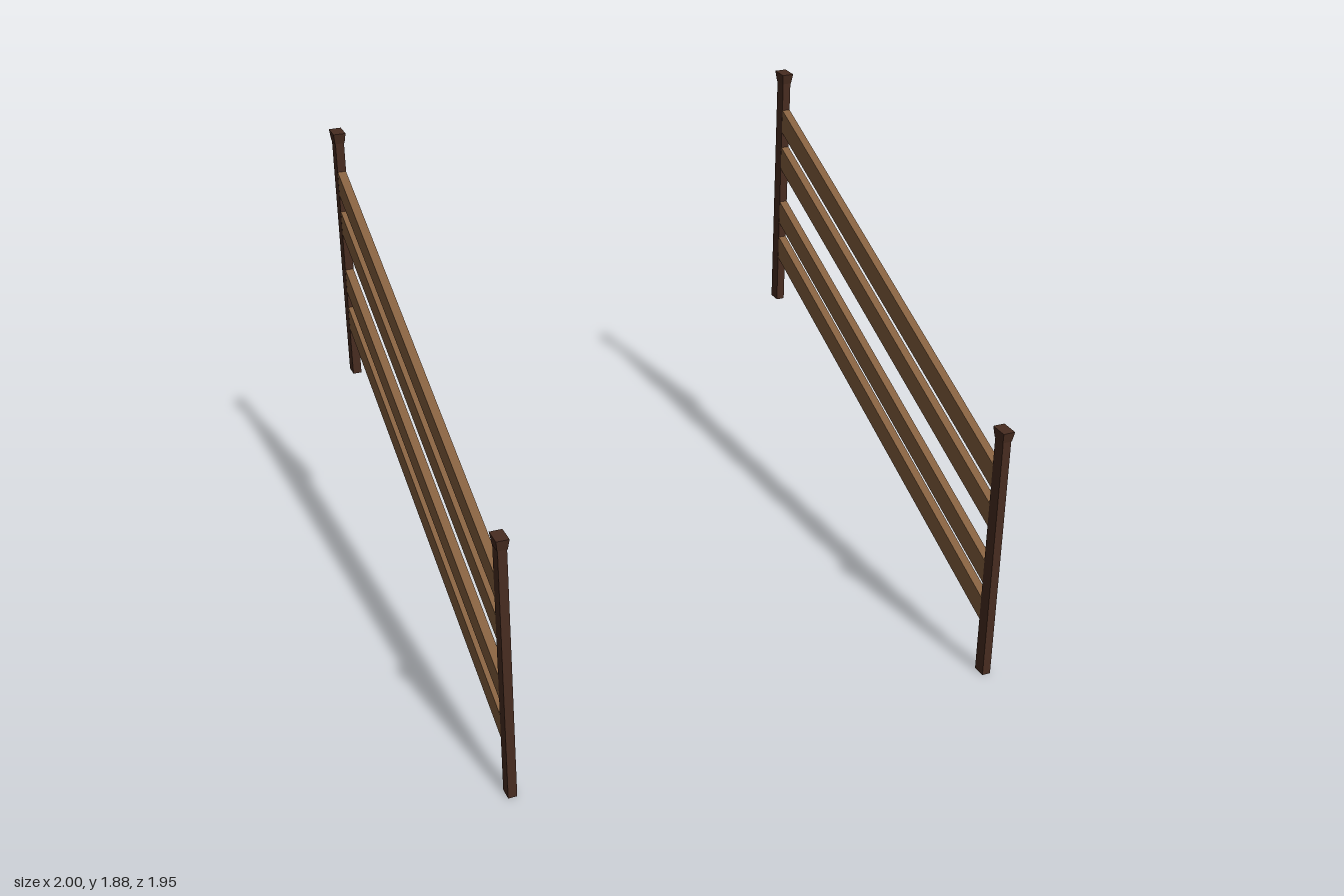
import * as THREE from 'three';

const wood = new THREE.MeshStandardMaterial({ color: 0x85603f });
wood.name = 'railWood';
const darkWood = new THREE.MeshStandardMaterial({ color: 0x482c20 });
darkWood.name = 'postWood';

const POST_W = 0.034, POST_D = 0.055, CAP_W = 0.048, CAP_D = 0.074, CAP_H = 0.042;
const SLOPE = 0.443, RAIL_H = 0.098, RAIL_END = 0.925;

function addMesh(parent, geometry, material, name, y, z) {
  const mesh = new THREE.Mesh(geometry, material);
  mesh.name = name;
  mesh.position.set(0, y, z);
  parent.add(mesh);
}

// Square post with a cap that flares out towards the top
function makePost(name, bottom, top, z) {
  const post = new THREE.Group();
  post.name = name;
  const height = top - bottom - CAP_H;
  addMesh(post, new THREE.BoxGeometry(POST_W, height, POST_D), darkWood, 'postShaft', bottom + height / 2, z);

  const cap = new THREE.BoxGeometry(CAP_W, CAP_H, CAP_D);
  const p = cap.attributes.position;
  for (let i = 0; i < p.count; i++) {
    if (p.getY(i) < 0) {
      p.setX(i, Math.sign(p.getX(i)) * (POST_W / 2 + 0.002));
      p.setZ(i, Math.sign(p.getZ(i)) * (POST_D / 2 + 0.001));
    }
  }
  const flat = cap.toNonIndexed();
  flat.computeVertexNormals();
  addMesh(post, flat, darkWood, 'postCap', top - CAP_H / 2, z);
  return post;
}

// Board sheared to follow the stair slope, with upright ends
function makeRailGeometry() {
  const rail = new THREE.BoxGeometry(POST_W - 0.001, RAIL_H, RAIL_END * 2);
  const p = rail.attributes.position;
  for (let i = 0; i < p.count; i++) p.setY(i, p.getY(i) - SLOPE * p.getZ(i));
  const flat = rail.toNonIndexed();
  flat.computeVertexNormals();
  return flat;
}

export function createModel() {
  const model = new THREE.Group();
  model.name = 'stairRailings';
  const railGeometry = makeRailGeometry();

  for (const side of [-1, 1]) {
    const railing = new THREE.Group();
    railing.name = side > 0 ? 'leftRailing' : 'rightRailing';
    railing.position.x = side * 0.976;
    railing.add(makePost('frontPost', 0, 1.068, 0.941));
    railing.add(makePost('backPost', 0.833, 1.877, -0.939));
    // Two pairs of sloping rails, given by their mid-span heights
    for (const y of [0.681, 0.847, 1.098, 1.265]) {
      addMesh(railing, railGeometry, wood, 'rail', y, 0);
    }
    model.add(railing);
  }
  return model;
}
